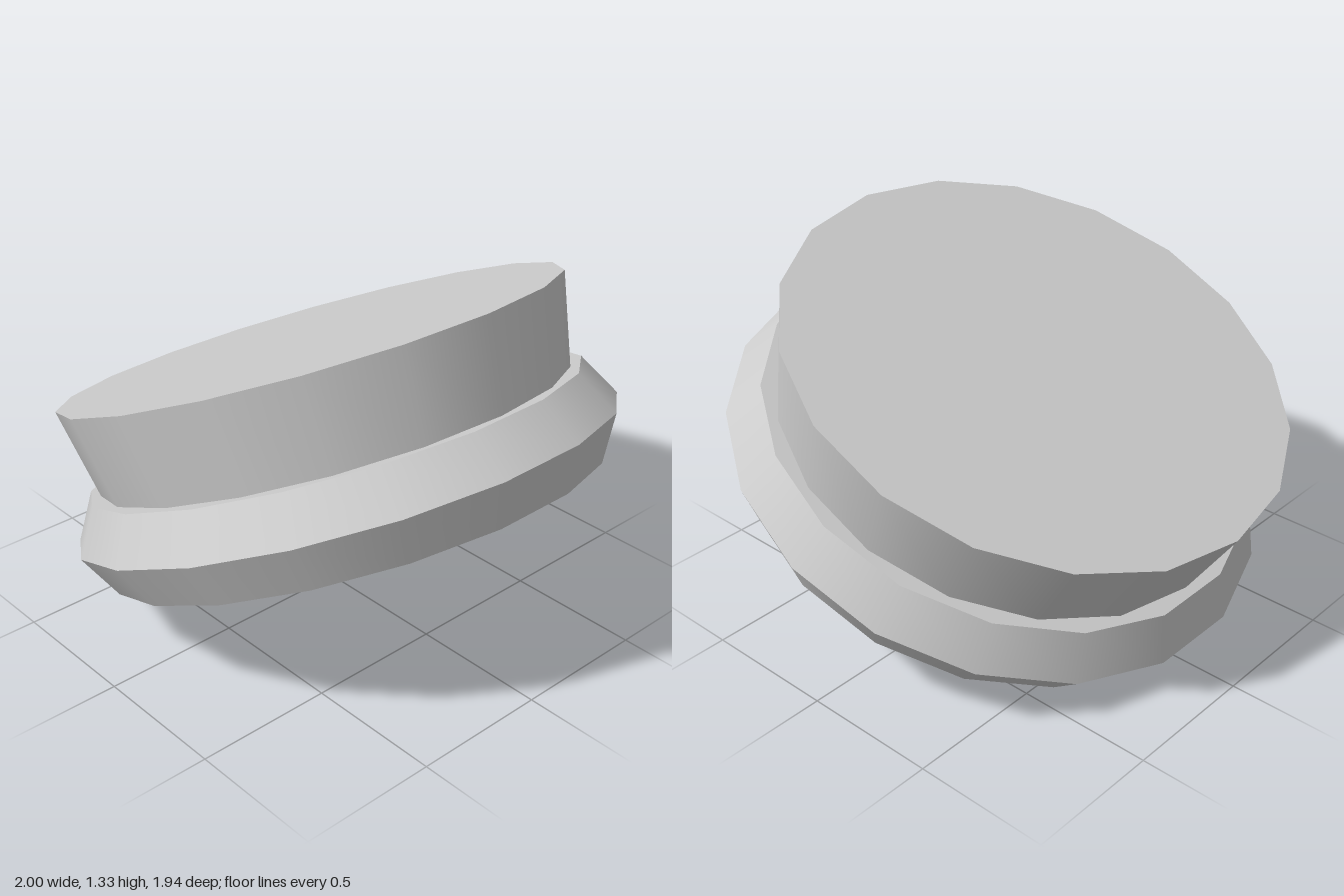
import * as THREE from 'three';
import { mergeGeometries } from 'three/addons/utils/BufferGeometryUtils.js';

const SIDES = 18;

// Revolves each profile segment separately: smooth around, sharp between bands
function bands(profile, phiStart) {
  const parts = [];
  for (let i = 0; i < profile.length - 1; i++) {
    const pts = [profile[i], profile[i + 1]].map(([r, h]) => new THREE.Vector2(r, h));
    parts.push(new THREE.LatheGeometry(pts, SIDES, phiStart, Math.PI * 2));
  }
  return mergeGeometries(parts);
}

export function createModel() {
  const grey = new THREE.MeshStandardMaterial({ color: 0xcccccc });
  grey.name = 'grey';

  const model = new THREE.Group();
  model.name = 'tiltedCap';

  const tilted = new THREE.Group();
  tilted.name = 'capBody';
  tilted.position.set(0, 0.958, -0.125);
  tilted.rotation.x = THREE.MathUtils.degToRad(-23.9);
  model.add(tilted);

  // Upper drum, flaring toward its flat top
  const drum = new THREE.Mesh(bands([[0.862, -0.33], [0.925, 0], [0, 0]], 0), grey);
  drum.name = 'upperDrum';
  tilted.add(drum);

  // Bevelled base ring with a tapered recess beneath, turned half a side
  const ring = new THREE.Mesh(bands([
    [0, -0.49], [0.63, -0.49], [0.725, -0.65],
    [0.91, -0.65], [1, -0.49], [0.91, -0.33], [0, -0.33],
  ], Math.PI / SIDES), grey);
  ring.name = 'baseRing';
  tilted.add(ring);

  return model;
}
